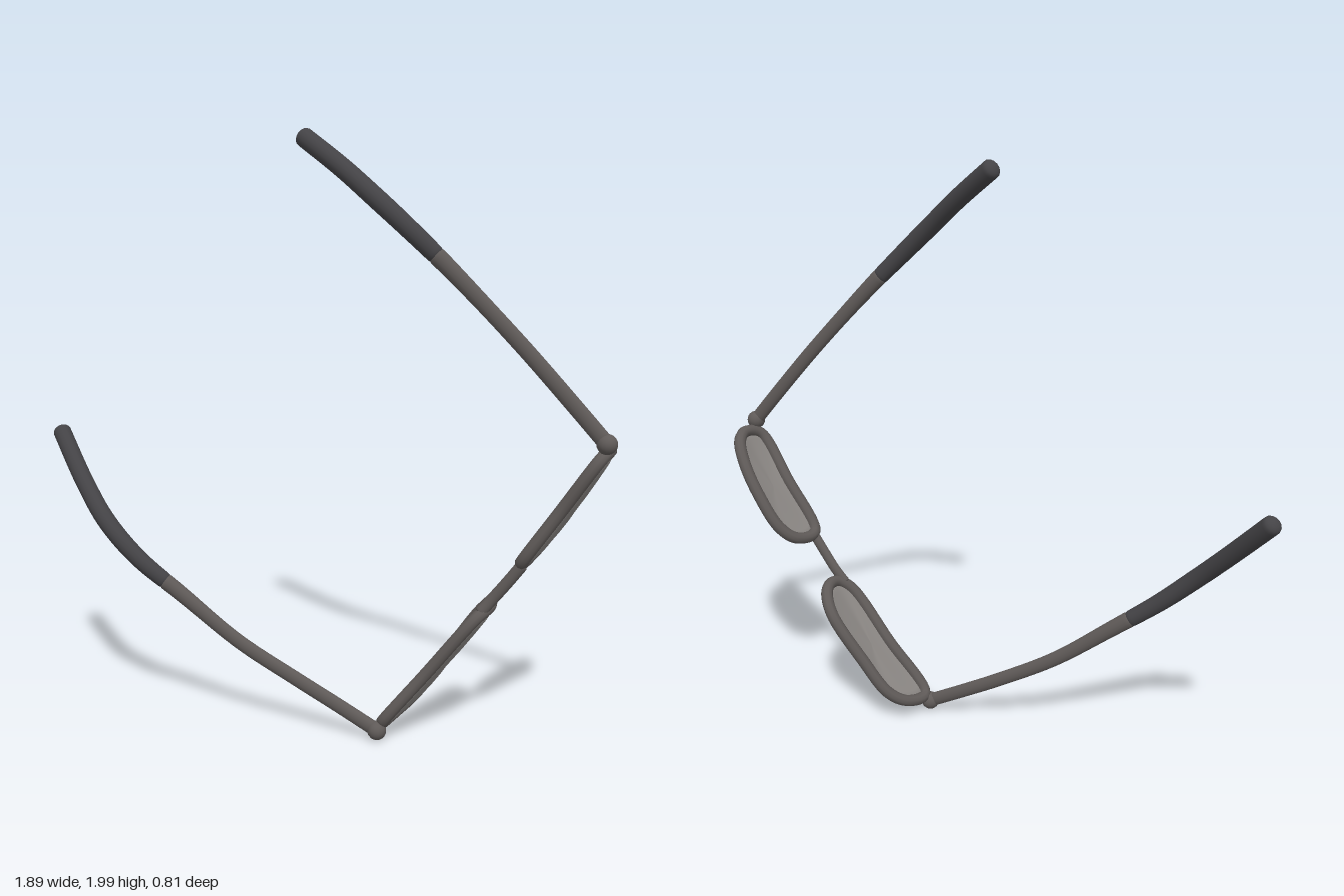
import * as THREE from 'three';

const V = (p) => new THREE.Vector3(...p);
const grey = (color) => new THREE.MeshStandardMaterial({ color });
const frameMat = grey(0x5f5a58), tipMat = grey(0x444346), lensMat = grey(0x8a8683);

// Direction of the lens height; cross-sections are flattened along it
const HEIGHT = new THREE.Vector3(-0.3, -0.05, -0.95).normalize();

// Skin a list of closed rings into a smooth surface
function loft(rings) {
  const n = rings[0].length, pos = [], index = [];
  rings.forEach((ring) => ring.forEach((p) => pos.push(p.x, p.y, p.z)));
  for (let i = 0; i < rings.length - 1; i++) {
    for (let j = 0; j < n; j++) {
      const a = i * n + j, b = i * n + (j + 1) % n;
      index.push(a, b, a + n, b, b + n, a + n);
    }
  }
  const g = new THREE.BufferGeometry();
  g.setAttribute('position', new THREE.Float32BufferAttribute(pos, 3));
  g.setIndex(index);
  g.computeVertexNormals();
  return g;
}

// Elliptical sweep between t0 and t1 of a curve, with rounded ends
function sweep(curve, t0, t1, wide, thin, steps = 48, sides = 14) {
  const rings = [], end = 0.03;
  for (let i = 0; i <= steps; i++) {
    // cosine spacing crowds rings at the ends
    const s = (1 - Math.cos(Math.PI * i / steps)) / 2;
    const t = t0 + (t1 - t0) * s;
    const d = Math.min(1, Math.min(s, 1 - s) / end);
    const cap = Math.sqrt(Math.max(0, 1 - (1 - d) ** 2));
    const c = curve.getPointAt(t), T = curve.getTangentAt(t);
    const a = HEIGHT.clone().cross(T).normalize(), b = T.clone().cross(a);
    const ring = [];
    for (let j = 0; j < sides; j++) {
      const q = j / sides * Math.PI * 2;
      ring.push(c.clone()
        .addScaledVector(a, Math.cos(q) * wide(t) * cap)
        .addScaledVector(b, Math.sin(q) * thin(t) * cap));
    }
    rings.push(ring);
  }
  return loft(rings);
}

function add(group, name, geometry, material) {
  const m = new THREE.Mesh(geometry, material);
  m.name = name;
  group.add(m);
  return m;
}

// Temple arm: slim shaft, thicker dark ear tip
function makeArm(name, points) {
  const g = new THREE.Group();
  g.name = name;
  const curve = new THREE.CatmullRomCurve3(points.map(V));
  const grow = (t) => THREE.MathUtils.smoothstep(t, 0.35, 0.75);
  const wide = (t) => 0.025 + 0.007 * grow(t);
  const thin = (t) => 0.017 + 0.014 * grow(t);
  add(g, 'shaft', sweep(curve, 0, 0.56, wide, thin), frameMat);
  add(g, 'earTip', sweep(curve, 0.54, 1, wide, thin), tipMat);
  const hinge = add(g, 'hinge', new THREE.SphereGeometry(0.032, 16, 12), frameMat);
  hinge.position.set(...points[0]);
  return g;
}

// Rimmed lens: round rim following the outline plus a bowed shell
function makeLens(name, outline) {
  const g = new THREE.Group();
  g.name = name;
  const curve = new THREE.CatmullRomCurve3(outline.map(V), true);
  const loop = curve.getSpacedPoints(64).slice(0, 64);
  const centre = new THREE.Vector3(), normal = new THREE.Vector3();
  loop.forEach((p) => centre.addScaledVector(p, 1 / 64));
  loop.forEach((p, i) => normal.add(
    p.clone().sub(centre).cross(loop[(i + 1) % 64].clone().sub(centre))));
  normal.normalize();
  // [scale of outline, offset toward the wearer]
  const profile = [[0, -0.03], [0.3, -0.029], [0.6, -0.026], [0.85, -0.022], [1, -0.016],
    [1, 0.004], [0.85, -0.002], [0.6, -0.006], [0.3, -0.009], [0, -0.01]];
  const rings = profile.map(([s, d]) => loop.map((p) =>
    centre.clone().lerp(p, s).addScaledVector(normal, d)));
  add(g, 'lensPane', loft(rings), lensMat);
  add(g, 'rim', new THREE.TubeGeometry(curve, 80, 0.021, 10, true), frameMat);
  return g;
}

export function createModel() {
  const model = new THREE.Group();
  model.name = 'eyeglasses';

  model.add(makeArm('rightArm', [
    [0.262, 0.036, 0], [0.13, 0.11, 0.05], [0, 0.185, 0.105], [-0.18, 0.3, 0.19],
    [-0.36, 0.45, 0.275], [-0.5, 0.57, 0.345], [-0.62, 0.685, 0.375],
    [-0.74, 0.8, 0.363], [-0.925, 0.98, 0.318]]));
  model.add(makeArm('leftArm', [
    [0.922, 1.04, -0.25], [0.83, 1.15, -0.215], [0.68, 1.33, -0.15], [0.48, 1.555, -0.06],
    [0.36, 1.68, -0.005], [0.25, 1.775, 0.018], [0.12, 1.87, 0.017], [-0.052, 1.98, 0.01]]));

  model.add(makeLens('rightLens', [
    [0.275, 0.065, -0.015], [0.41, 0.25, -0.068], [0.55, 0.445, -0.13], [0.571, 0.478, -0.18],
    [0.54, 0.475, -0.245], [0.475, 0.415, -0.28], [0.37, 0.245, -0.228],
    [0.298, 0.12, -0.172], [0.268, 0.073, -0.105]]));
  model.add(makeLens('leftLens', [
    [0.682, 0.645, -0.185], [0.8, 0.825, -0.21], [0.905, 0.99, -0.245], [0.905, 1.01, -0.31],
    [0.872, 0.99, -0.358], [0.82, 0.92, -0.378], [0.75, 0.81, -0.37],
    [0.69, 0.7, -0.335], [0.666, 0.65, -0.28]]));

  // Nose bridge
  const bridge = new THREE.CatmullRomCurve3([
    [0.558, 0.465, -0.145], [0.59, 0.51, -0.163], [0.635, 0.57, -0.176],
    [0.685, 0.64, -0.19]].map(V));
  add(model, 'bridge', sweep(bridge, 0, 1, () => 0.019, () => 0.016, 24), frameMat);

  return model;
}
